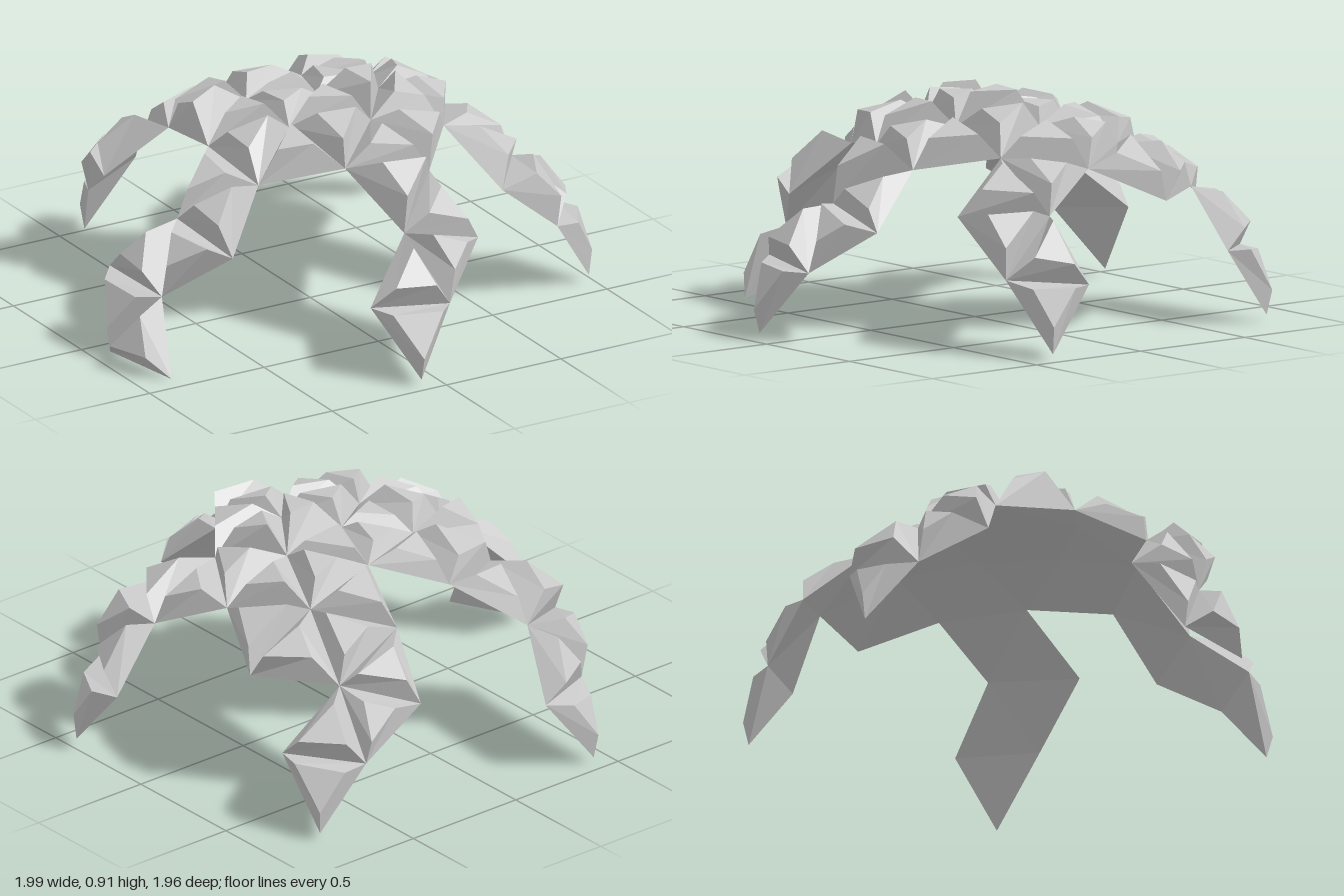
import * as THREE from 'three';

const RADIUS = 1.066;
const CENTRE = new THREE.Vector3(0.06, -0.265, -0.05);

// Corner of the regular solid the dome is divided from
function corner(degrees, y) {
  const a = THREE.MathUtils.degToRad(degrees), r = Math.sqrt(1 - y * y);
  return new THREE.Vector3(r * Math.cos(a), y, r * Math.sin(a));
}

// Grid nodes as weights of the top, two shoulder and one lower corner
const NODES = {
  hub: [4, 0, 0, 0], r1: [3, 1, 0, 0], r2: [2, 2, 0, 0], m2: [2, 1, 1, 0],
  r3: [1, 3, 0, 0], p3: [1, 2, 1, 0], q3: [1, 1, 2, 0], p4: [0, 3, 1, 0],
  m4: [0, 2, 2, 0], low: [0, 2, 1, 1], tip: [0, 3, 0, 1],
};

// Node position relative to the sphere centre; a "+" means the next sector
function node(sector, name) {
  const s = name.endsWith('+') ? sector + 1 : sector;
  const w = NODES[name.replace('+', '')];
  const lat = 1 / Math.sqrt(5);
  const corners = [new THREE.Vector3(0, 1, 0), corner(72 * s, lat),
    corner(72 * s + 72, lat), corner(72 * s + 36, -lat)];
  const p = new THREE.Vector3();
  corners.forEach((c, i) => p.addScaledVector(c, w[i]));
  return p.setLength(RADIUS);
}

function seeded(seed) {
  return () => {
    seed = (seed * 16807) % 2147483647;
    return seed / 2147483647;
  };
}

// One panel: flat triangle underneath, irregular raised cap on top
function addPanel(out, sector, names, height, rand) {
  const base = names.map((n) => node(sector, n));
  const mid = base[0].clone().add(base[1]).add(base[2]).divideScalar(3);
  const normal = base[1].clone().sub(base[0]).cross(base[2].clone().sub(base[0])).normalize();
  if (normal.dot(mid) < 0) {
    base.reverse();
    normal.negate();
  }
  const h = height || 0.075 + 0.04 * rand();
  const top = base.map((b) => b.clone().lerp(mid, 0.34 + 0.3 * rand())
    .addScaledVector(normal, h * (0.8 + 0.3 * rand())));
  const face = (...pts) => pts.forEach((p) => out.push(
    p.x + CENTRE.x, p.y + CENTRE.y, p.z + CENTRE.z));

  face(base[2], base[1], base[0]);
  face(top[0], top[1], top[2]);
  for (let i = 0; i < 3; i++) {
    const j = (i + 1) % 3;
    face(base[i], base[j], top[j]);
    face(base[i], top[j], top[i]);
  }
}

function panelMesh(name, panels, material, seed) {
  const out = [], rand = seeded(seed);
  for (const [sector, names, height] of panels) {
    addPanel(out, sector, names.split(' '), height, rand);
  }
  const geometry = new THREE.BufferGeometry();
  geometry.setAttribute('position', new THREE.Float32BufferAttribute(out, 3));
  geometry.computeVertexNormals();
  const mesh = new THREE.Mesh(geometry, material);
  mesh.name = name;
  return mesh;
}

export function createModel() {
  const group = new THREE.Group();
  group.name = 'facetedDome';
  const grey = new THREE.MeshStandardMaterial({ color: 0xc8c8c8 });
  grey.name = 'stone grey';
  grey.flatShading = true;

  // Central dome, with one panel left open at the back
  const hubHeights = [0.13, 0.1, 0.055, 0.05, 0.065];
  const dome = [];
  for (let s = 0; s < 5; s++) {
    dome.push([s, 'hub r1 r1+', hubHeights[s]], [s, 'r1 r2 m2'], [s, 'r1 m2 r1+']);
    if (s !== 3) dome.push([s, 'r1+ m2 r2+', s === 2 ? 0.13 : 0]);
  }
  group.add(panelMesh('dome', dome, grey, 4711));

  // Five zigzag legs
  const legNames = ['rightFrontLeg', 'frontLeg', 'sideLeg', 'backLeg', 'rearCornerLeg'];
  legNames[0] = 'leftFrontLeg';
  legNames[2] = 'rightLeg';
  legNames[4] = 'leftBackLeg';
  for (let s = 0; s < 5; s++) {
    const leg = [[s, 'r2 m2 p3', s === 1 ? 0.125 : 0], [s, 'p3 p4 m4'], [s, 'p4 low m4', 0.07]];
    if (s === 0) leg.push([s, 'p3 q3 m2'], [s, 'p3 m4 q3']);
    else leg.push([s, 'r2 r3 p3'], [s, 'r3 p4 p3']);
    // Extra foot panel on the right leg
    if (s === 2) leg.push([s, 'p4 tip low', 0.09]);
    // Shoulder panels beside the left back leg
    if (s === 4) leg.push([s, 'm2 q3 p3', 0.11], [s, 'm2 q3 r2+']);
    group.add(panelMesh(legNames[s], leg, grey, 911 + 137 * s));
  }
  return group;
}
